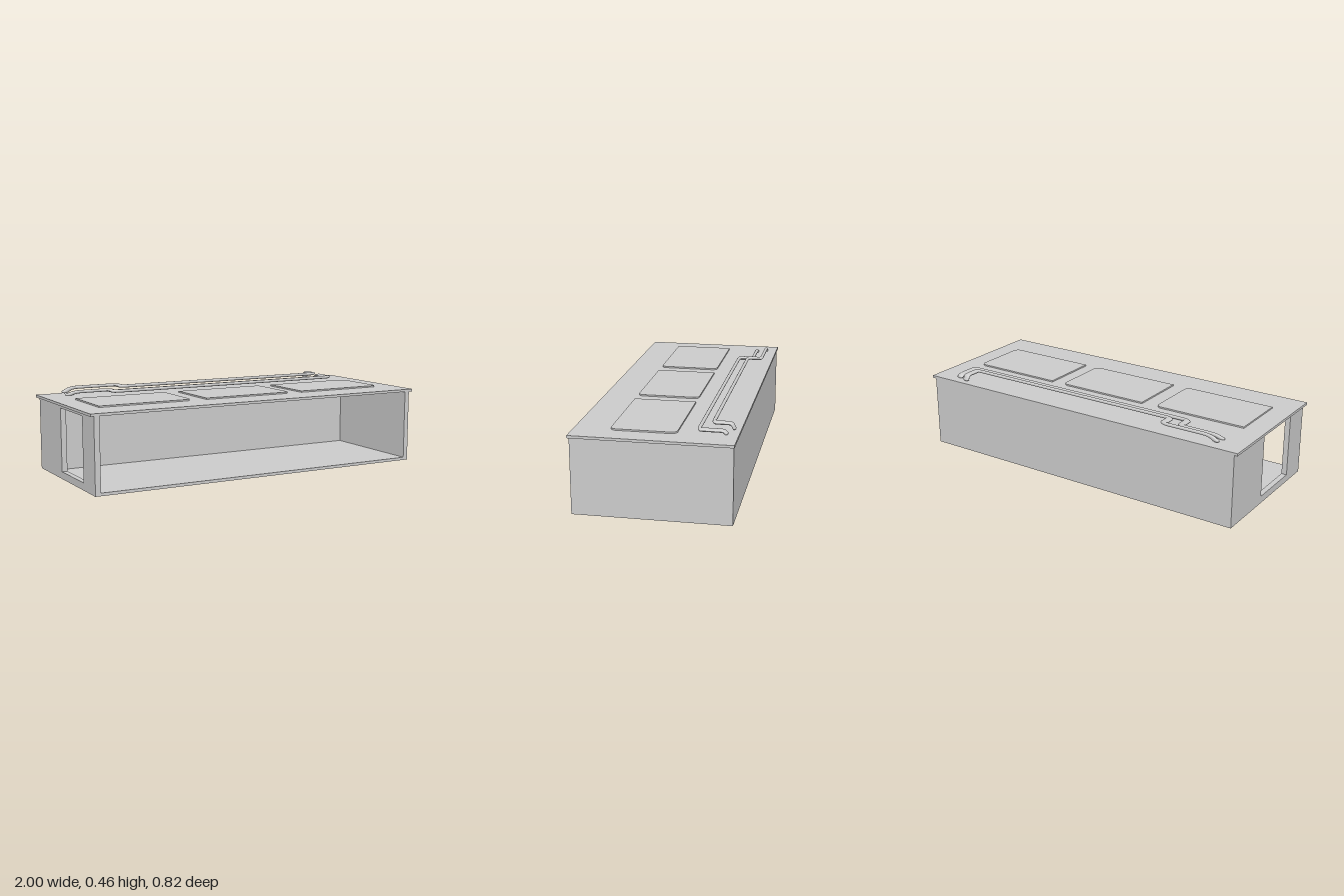
import * as THREE from 'three';

const grey = new THREE.MeshStandardMaterial({ color: 0xcccccc, side: THREE.DoubleSide });

function addMesh(parent, name, geometry) {
  const mesh = new THREE.Mesh(geometry, grey);
  mesh.name = name;
  parent.add(mesh);
  return mesh;
}

// Box given by its minimum and maximum corners
function addBox(parent, name, [x0, y0, z0], [x1, y1, z1]) {
  const mesh = addMesh(parent, name, new THREE.BoxGeometry(x1 - x0, y1 - y0, z1 - z0));
  mesh.position.set((x0 + x1) / 2, (y0 + y1) / 2, (z0 + z1) / 2);
  return mesh;
}

// Polyline with its corners rounded off
function roundedPath(points, radius) {
  const path = new THREE.CurvePath();
  let start = points[0];
  for (let i = 1; i < points.length - 1; i++) {
    const corner = points[i];
    const toward = (p) => {
      const d = p.clone().sub(corner);
      return corner.clone().addScaledVector(d.clone().normalize(), Math.min(radius, d.length() * 0.45));
    };
    const a = toward(points[i - 1]);
    const b = toward(points[i + 1]);
    path.add(new THREE.LineCurve3(start, a));
    path.add(new THREE.QuadraticBezierCurve3(a, corner, b));
    start = b;
  }
  path.add(new THREE.LineCurve3(start, points[points.length - 1]));
  return path;
}

// Round pipe widened along x, with closed ends
function addPipe(parent, name, coords) {
  const stretch = 2.2, r = 0.009;
  const points = coords.map(([x, y, z]) => new THREE.Vector3(x / stretch, y, z));
  const pipe = new THREE.Group();
  pipe.name = name;
  pipe.scale.x = stretch;
  addMesh(pipe, 'pipeRun', new THREE.TubeGeometry(roundedPath(points, 0.018), 240, r, 14, false));
  for (const end of [points[0], points[points.length - 1]]) {
    addMesh(pipe, 'pipeEnd', new THREE.SphereGeometry(r, 14, 8)).position.copy(end);
  }
  parent.add(pipe);
}

export function createModel() {
  const model = new THREE.Group();
  model.name = 'counter';

  // Open-fronted cabinet
  addBox(model, 'floor', [-0.98, 0, -0.405], [0.98, 0.016, 0.405]);
  addBox(model, 'leftWall', [0.952, 0.016, -0.405], [0.98, 0.404, 0.405]);
  addBox(model, 'backWall', [-0.95, 0.016, -0.405], [0.952, 0.404, -0.235]);

  // End wall with a rectangular window, drawn in z and y
  const rect = (Type, z0, z1, y0, y1) => {
    const p = new Type();
    p.moveTo(z0, y0).lineTo(z1, y0).lineTo(z1, y1).lineTo(z0, y1).closePath();
    return p;
  };
  const wall = rect(THREE.Shape, -0.405, 0.405, 0.016, 0.404);
  wall.holes.push(rect(THREE.Path, -0.07, 0.245, 0.04, 0.385));
  const wallGeometry = new THREE.ExtrudeGeometry(wall, { depth: 0.03, bevelEnabled: false });
  wallGeometry.rotateY(-Math.PI / 2);
  addMesh(model, 'rightWall', wallGeometry).position.x = -0.95;

  // Worktop slab
  addBox(model, 'worktop', [-1, 0.404, -0.41], [1, 0.418, 0.41]);

  // Three thin panels, rounded at their +x corners
  const w = 0.53, d = 0.335, r = 0.03;
  const panel = new THREE.Shape();
  panel.moveTo(0, 0).lineTo(w - r, 0);
  panel.absarc(w - r, r, r, -Math.PI / 2, 0, false);
  panel.lineTo(w, d - r);
  panel.absarc(w - r, d - r, r, 0, Math.PI / 2, false);
  panel.lineTo(0, d).closePath();
  const panelGeometry = new THREE.ExtrudeGeometry(panel, { depth: 0.008, bevelEnabled: false, curveSegments: 8 });
  panelGeometry.rotateX(-Math.PI / 2);
  for (const x of [-0.88, -0.26, 0.35]) {
    addMesh(model, 'topPanel', panelGeometry).position.set(x, 0.418, 0.225);
  }

  // Two pipes running along the back of the worktop
  addPipe(model, 'upperPipe', [
    [-0.85, 0.432, -0.355], [-0.81, 0.453, -0.355], [-0.54, 0.453, -0.355],
    [-0.54, 0.453, -0.273], [0.77, 0.453, -0.273], [0.77, 0.453, -0.365], [0.77, 0.43, -0.377],
  ]);
  addPipe(model, 'lowerPipe', [
    [-0.85, 0.422, -0.295], [-0.81, 0.435, -0.295], [-0.61, 0.435, -0.295],
    [-0.61, 0.435, -0.211], [0.84, 0.435, -0.211], [0.84, 0.435, -0.335], [0.84, 0.424, -0.348],
  ]);

  return model;
}
